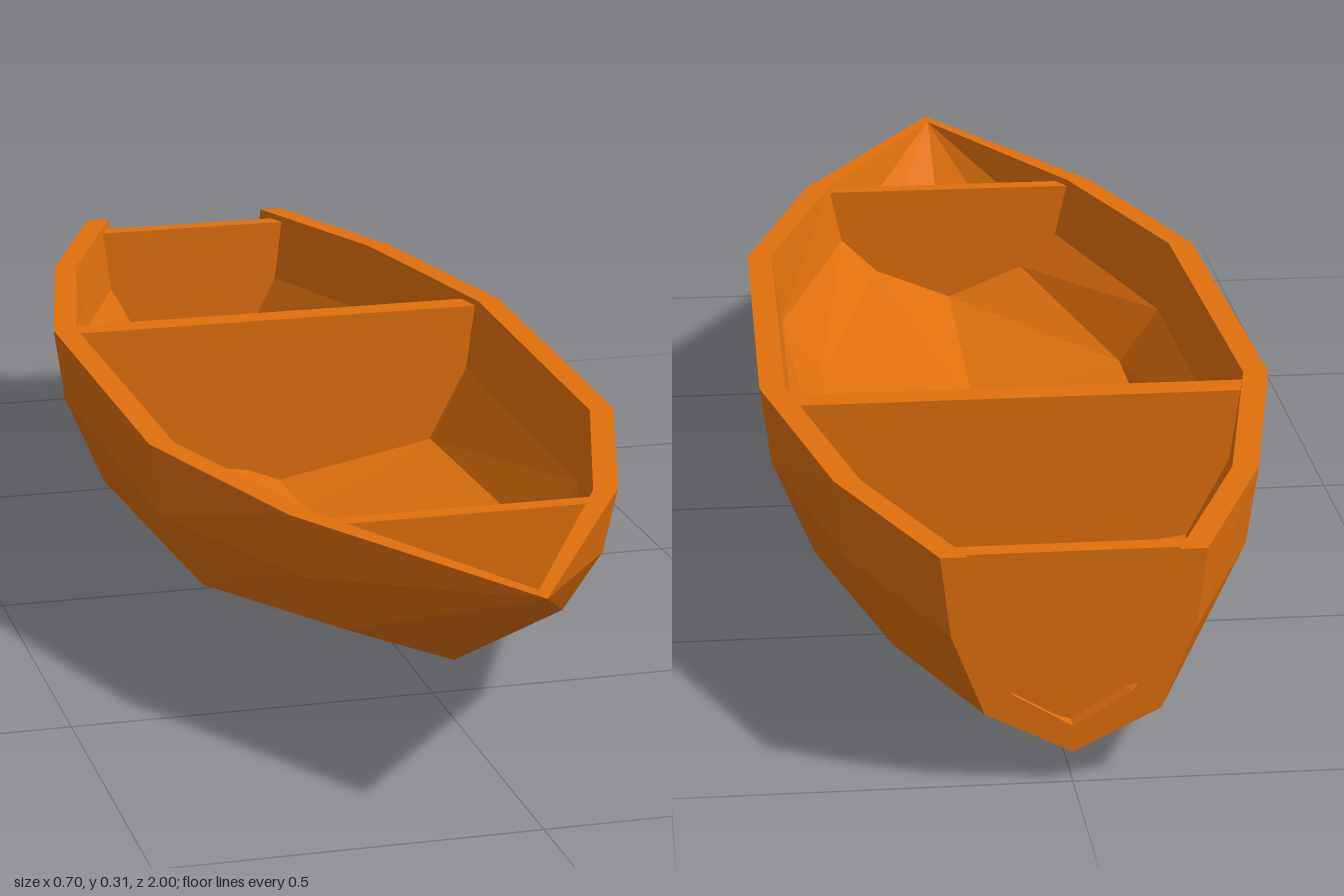
import * as THREE from 'three';

// Hull stations, stern to bow: z of the ribs, then [x, y] of rail, side and chine, then keel [y, z]
const stations = [
  { z: -1.0, rail: [0.165, 0.305], side: [0.152, 0.2], chine: [0.11, 0.095], keel: [0.04, -1.0] },
  { z: -0.72, rail: [0.275, 0.305], side: [0.26, 0.2], chine: [0.2, 0.075], keel: [0, -0.6] },
  { z: -0.35, rail: [0.35, 0.305], side: [0.335, 0.197], chine: [0.277, 0.062], keel: [0.007, -0.2] },
  { z: 0.25, rail: [0.335, 0.305], side: [0.32, 0.2], chine: [0.262, 0.095], keel: [0.038, 0.2] },
  { z: 0.6, rail: [0.225, 0.305], side: [0.205, 0.217], chine: [0.15, 0.14], keel: [0.083, 0.6] },
  { z: 1.0, rail: [0, 0.305], side: [0, 0.305], chine: [0, 0.305], keel: [0.305, 1.0] },
];
const WALL = 0.035;

// Half section from rail to keel, on the outer or the inner skin
function halfSection(s, inner) {
  if (s.z === 1) return Array.from({ length: 4 }, () => new THREE.Vector3(0, 0.305, inner ? 0.965 : 1));
  const t = inner ? WALL : 0;
  return [
    new THREE.Vector3(s.rail[0] - t, s.rail[1], s.z),
    new THREE.Vector3(s.side[0] - t, s.side[1], s.z),
    new THREE.Vector3(s.chine[0] - t, s.chine[1] + t * 0.7, s.z),
    new THREE.Vector3(0, s.keel[0] + t, s.keel[1]),
  ];
}

// Full section across the boat, from +x to -x
function fullSection(half) {
  const mirrored = half.slice(0, 3).reverse().map((p) => new THREE.Vector3(-p.x, p.y, p.z));
  return [...half, ...mirrored];
}

function hullGeometry() {
  const pos = [];
  const tri = (a, b, c) => {
    const area = b.clone().sub(a).cross(c.clone().sub(a)).length();
    if (area > 1e-7) for (const p of [a, b, c]) pos.push(p.x, p.y, p.z);
  };
  const quad = (a, b, c, d) => { tri(a, b, c); tri(a, c, d); };

  // Closed loops: outer skin one way, inner skin back
  const loops = stations.map((s) => [
    ...fullSection(halfSection(s, false)),
    ...fullSection(halfSection(s, true)).reverse(),
  ]);
  const n = loops[0].length;
  for (let i = 0; i < loops.length - 1; i++) {
    for (let j = 0; j < n; j++) {
      const k = (j + 1) % n;
      quad(loops[i][j], loops[i + 1][j], loops[i + 1][k], loops[i][k]);
    }
  }
  // Cut end of the planking at the stern
  const end = loops[0];
  for (let j = 0; j < n / 2 - 1; j++) quad(end[j], end[j + 1], end[n - 2 - j], end[n - 1 - j]);

  const g = new THREE.BufferGeometry();
  g.setAttribute('position', new THREE.Float32BufferAttribute(pos, 3));
  g.computeVertexNormals();
  return g;
}

// Point of one inner hull line at a given z
function innerPoint(row, z) {
  const line = stations.map((s) => halfSection(s, true)[row]);
  let i = 0;
  while (i < line.length - 2 && line[i + 1].z < z) i++;
  return line[i].clone().lerp(line[i + 1], (z - line[i].z) / (line[i + 1].z - line[i].z));
}

// Cross panel fitted to the inside of the hull, sunk slightly into the planking
function panelGeometry(z0, z1) {
  const sink = 0.008;
  const half = [0, 1, 2, 3].map((r) => innerPoint(r, (z0 + z1) / 2));
  const pts = fullSection(half).map((p) => new THREE.Vector2(
    p.x + Math.sign(p.x) * sink,
    p.y > 0.3 ? 0.296 : p.y - sink,
  ));
  const g = new THREE.ExtrudeGeometry(new THREE.Shape(pts), { depth: z1 - z0, bevelEnabled: false });
  return g.translate(0, 0, z0);
}

export function createModel() {
  const boat = new THREE.Group();
  boat.name = 'rowingBoat';
  const wood = new THREE.MeshStandardMaterial({ color: 0xe0700c, flatShading: true });
  const add = (name, geometry) => {
    const mesh = new THREE.Mesh(geometry, wood);
    mesh.name = name;
    boat.add(mesh);
  };

  add('hull', hullGeometry());
  add('transom', panelGeometry(-0.97, -0.942));
  add('middleBulkhead', panelGeometry(-0.4, -0.356));
  add('bowBulkhead', panelGeometry(0.6, 0.628));
  return boat;
}
